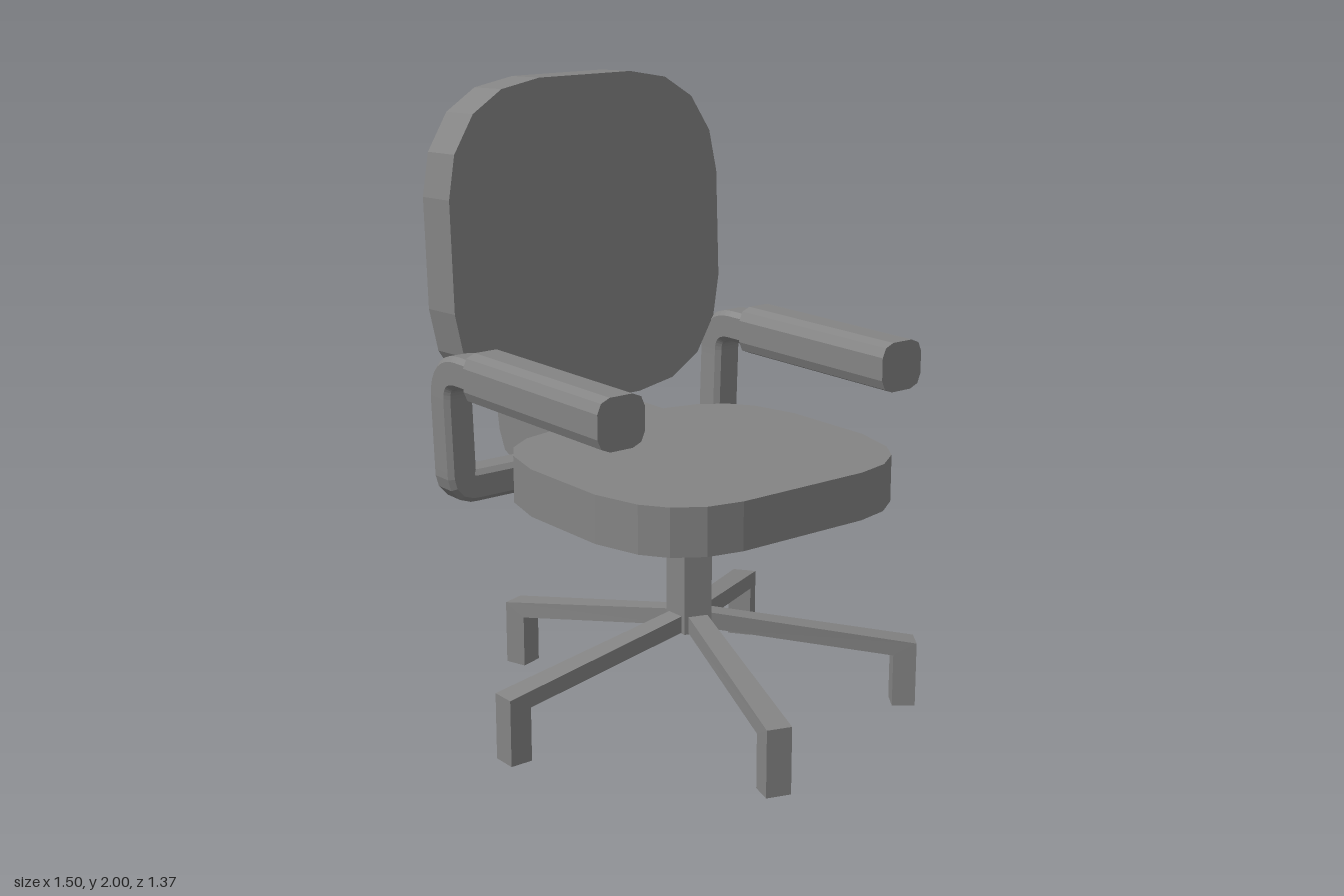
import * as THREE from 'three';

const material = new THREE.MeshStandardMaterial({ color: 0x848484, flatShading: true });
const CZ = -0.05; // mid-plane of the chair, which faces +x

function add(parent, name, geometry) {
  const mesh = new THREE.Mesh(geometry, material);
  mesh.name = name;
  parent.add(mesh);
  return mesh;
}

const toShape = (pts) => new THREE.Shape(pts.map(([x, y]) => new THREE.Vector2(x, y)));

const extrude = (shape, depth) =>
  new THREE.ExtrudeGeometry(shape, { depth, bevelEnabled: false }).translate(0, 0, -depth / 2);

// Mirrors one corner (listed counter-clockwise) into a closed outline
function fourCorners(corner) {
  const back = [...corner].reverse();
  return toShape([
    ...corner,
    ...back.map(([x, y]) => [-x, y]),
    ...corner.map(([x, y]) => [-x, -y]),
    ...back.map(([x, y]) => [x, -y]),
  ]);
}

// One star-base leg with its foot, slightly narrower at the hub
function legGeometry() {
  const profile = toShape([
    [0.055, 0.275], [0.655, 0.175], [0.655, 0], [0.73, 0], [0.73, 0.215], [0.055, 0.33],
  ]);
  const geometry = extrude(profile, 0.08);
  const p = geometry.attributes.position;
  for (let i = 0; i < p.count; i++) {
    if (p.getX(i) < 0.1) p.setZ(i, p.getZ(i) * 0.8);
  }
  geometry.computeVertexNormals();
  return geometry;
}

// Path of the U-shaped bar carrying both armrests
function armPath() {
  const v = (x, y, z) => new THREE.Vector3(x, y, CZ + z);
  const x = -0.49, w = 0.553, foot = 0.545, low = 0.722, high = 1.12;
  const path = new THREE.CurvePath();
  const line = (a, b) => path.add(new THREE.LineCurve3(a, b));
  const bend = (a, b, c) => path.add(new THREE.QuadraticBezierCurve3(a, b, c));
  line(v(-0.26, high, w), v(-0.38, high, w));
  bend(v(-0.38, high, w), v(x, high, w), v(x, 1.02, w));
  line(v(x, 1.02, w), v(x, low + 0.05, foot));
  bend(v(x, low + 0.05, foot), v(x, low, foot), v(x, low, foot - 0.05));
  line(v(x, low, foot - 0.05), v(x, low, 0.05 - foot));
  bend(v(x, low, 0.05 - foot), v(x, low, -foot), v(x, low + 0.05, -foot));
  line(v(x, low + 0.05, -foot), v(x, 1.02, -w));
  bend(v(x, 1.02, -w), v(x, high, -w), v(-0.38, high, -w));
  line(v(-0.38, high, -w), v(-0.26, high, -w));
  return path;
}

export function createModel() {
  const chair = new THREE.Group();
  chair.name = 'officeChair';

  // Seat cushion
  const seatOutline = fourCorners([
    [0.485, 0.235], [0.46, 0.35], [0.4, 0.44], [0.32, 0.495], [0.165, 0.535],
  ]);
  add(chair, 'seat', extrude(seatOutline, 0.152).rotateX(-Math.PI / 2))
    .position.set(0.09, 0.796, CZ);

  // Backrest cushion, leaning back a little
  const backOutline = fourCorners([
    [0.537, 0.18], [0.51, 0.32], [0.435, 0.44], [0.325, 0.51], [0.18, 0.537],
  ]);
  const back = add(chair, 'backrest', extrude(backOutline, 0.155).rotateY(Math.PI / 2));
  back.position.set(-0.566, 1.46, CZ);
  back.rotation.z = 0.042;

  // Bent bracket joining seat and backrest
  const bracket = toShape([
    [-0.35, 0.72], [-0.35, 0.87], [-0.62, 0.87], [-0.645, 1.53], [-0.75, 1.47],
    [-0.72, 0.9], [-0.705, 0.81], [-0.675, 0.745], [-0.62, 0.72],
  ]);
  add(chair, 'backBracket', extrude(bracket, 0.465)).position.z = CZ;

  // Armrest frame: a bar with bevelled edges, and its pads
  const barSection = fourCorners([[0.053, 0.037], [0.037, 0.053]]);
  add(chair, 'armFrame',
    new THREE.ExtrudeGeometry(barSection, { steps: 110, extrudePath: armPath() }));
  const padOutline = fourCorners([[0.084, 0.037], [0.071, 0.067], [0.04, 0.08]]);
  for (const side of [1, -1]) {
    add(chair, side > 0 ? 'rightArmPad' : 'leftArmPad',
      extrude(padOutline, 0.695).rotateY(Math.PI / 2))
      .position.set(0.063, 1.125, CZ + side * 0.552);
  }

  // Five-sided column
  const base = new THREE.Group();
  base.name = 'base';
  base.position.set(0.04, 0, CZ);
  chair.add(base);
  add(base, 'column', new THREE.CylinderGeometry(0.079, 0.079, 0.44, 5).rotateY(Math.PI))
    .position.y = 0.49;

  // Five legs
  const leg = legGeometry();
  for (let i = 0; i < 5; i++) {
    add(base, 'leg' + (i + 1), leg).rotation.y = -Math.PI / 2 - (i * Math.PI * 2) / 5;
  }

  return chair;
}
